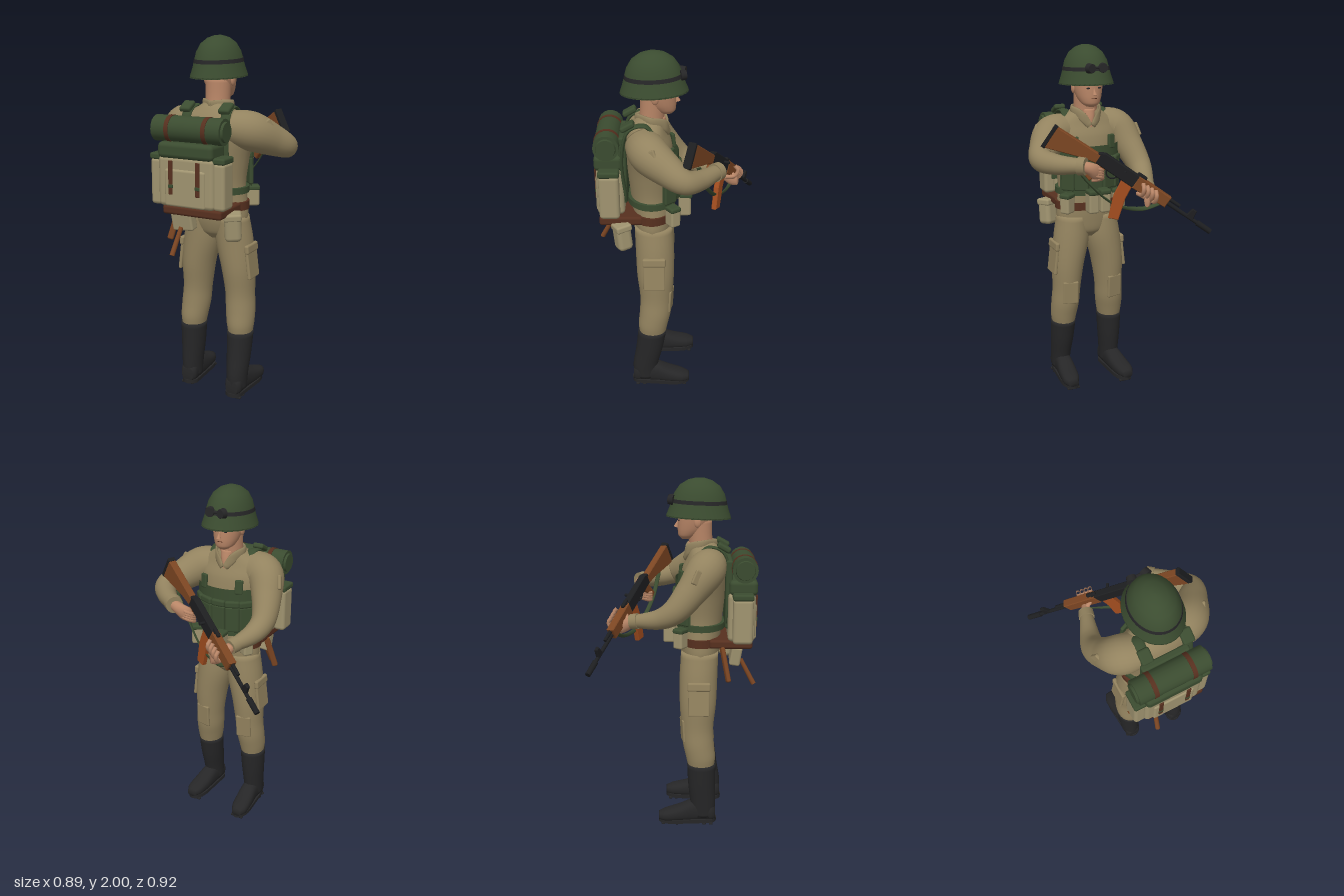
import * as THREE from 'three';
import { RoundedBoxGeometry } from 'three/addons/geometries/RoundedBoxGeometry.js';

const mat = (name, color, side = THREE.FrontSide) => {
  const m = new THREE.MeshStandardMaterial({ color, side });
  m.name = name;
  return m;
};
const V = (p) => new THREE.Vector3(p[0], p[1], p[2]);
const CX = 0.055; // body centre line

export function createModel() {
  const tan = mat('uniform tan', 0x93835f);
  const canvas = mat('canvas tan', 0xa09470);
  const green = mat('olive green', 0x3b4c30, THREE.DoubleSide);
  const skin = mat('skin', 0xb98667);
  const black = mat('black leather', 0x262627);
  const metal = mat('gun metal', 0x1d1e20);
  const wood = mat('wood', 0x7b4522);
  const orange = mat('magazine orange', 0xa24d1f);
  const brown = mat('brown leather', 0x57301f);

  const root = new THREE.Group();
  root.name = 'soldier';
  const add = (name, geo, m, pos = [0, 0, 0], rot = [0, 0, 0], parent = root) => {
    const mesh = new THREE.Mesh(geo, m);
    mesh.name = name;
    mesh.position.set(...pos);
    mesh.rotation.set(...rot);
    parent.add(mesh);
    return mesh;
  };
  const box = (name, size, m, pos, rot, parent, r = 0.012) =>
    add(name, new RoundedBoxGeometry(...size, 2, Math.min(r, Math.min(...size) * 0.4)), m, pos, rot, parent);
  const rod = (name, a, b, r0, r1, m, parent = root) => {
    const d = V(b).sub(V(a));
    const mesh = add(name, new THREE.CylinderGeometry(r1, r0, d.length(), 18), m, V(a).addScaledVector(d, 0.5).toArray(), [0, 0, 0], parent);
    mesh.quaternion.setFromUnitVectors(new THREE.Vector3(0, 1, 0), d.normalize());
    return mesh;
  };

  // Smooth skin over elliptical sections [x, y, z, radiusA, radiusB]
  const sweep = (secs, { ref = [0, 0, 1], dir = null, n = 24, steps = 5, pow = 1 } = {}) => {
    const path = new THREE.CatmullRomCurve3(secs.map(V), false, 'centripetal');
    const radii = new THREE.CatmullRomCurve3(secs.map((s, i) => new THREE.Vector3(s[3], s[4], i * 0.1)), false, 'centripetal');
    const rows = (secs.length - 1) * steps, pos = [], idx = [];
    for (let i = 0; i <= rows; i++) {
      const c = path.getPoint(i / rows), r = radii.getPoint(i / rows);
      const t = dir ? V(dir) : path.getTangent(i / rows);
      const a = V(ref).cross(t).normalize(), b = t.clone().cross(a).normalize();
      for (let j = 0; j < n; j++) {
        const th = (j / n) * Math.PI * 2, cs = Math.cos(th), sn = Math.sin(th);
        const p = c.clone()
          .addScaledVector(a, Math.sign(cs) * Math.abs(cs) ** pow * r.x)
          .addScaledVector(b, Math.sign(sn) * Math.abs(sn) ** pow * r.y);
        pos.push(p.x, p.y, p.z);
        if (i < rows) {
          const k = i * n + j, l = i * n + ((j + 1) % n);
          idx.push(k, l, l + n, k, l + n, k + n);
        }
      }
    }
    const e = pos.length / 3;
    pos.push(...secs[0].slice(0, 3), ...secs[secs.length - 1].slice(0, 3));
    for (let j = 0; j < n; j++) {
      const k = (j + 1) % n;
      idx.push(e, k, j, e + 1, rows * n + j, rows * n + k);
    }
    const g = new THREE.BufferGeometry();
    g.setAttribute('position', new THREE.Float32BufferAttribute(pos, 3));
    g.setIndex(idx);
    g.computeVertexNormals();
    return g;
  };
  const UP = { dir: [0, 1, 0] }, DOWN = { dir: [0, -1, 0] };

  // Torso and pelvis
  add('torso', sweep([[CX, 0.91, 0.135, 0.05, 0.06], [CX, 0.95, 0.135, 0.14, 0.095], [CX, 1.02, 0.14, 0.178, 0.11], [CX, 1.1, 0.14, 0.176, 0.115],
    [CX, 1.22, 0.145, 0.165, 0.12], [CX, 1.36, 0.148, 0.185, 0.13], [CX, 1.5, 0.16, 0.215, 0.125],
    [CX, 1.58, 0.165, 0.18, 0.1], [CX, 1.63, 0.155, 0.1, 0.08], [CX, 1.65, 0.15, 0.07, 0.065]], UP), tan);

  // Legs, boots and leg pockets
  for (const s of [-1, 1]) {
    const X = (o) => CX + s * o, dz = s > 0 ? 0.025 : -0.008;
    add('trouserLeg', sweep([[X(0.09), 1.04, 0.138, 0.088, 0.105], [X(0.1), 0.9, 0.132, 0.104, 0.108], [X(0.125), 0.74, 0.13, 0.094, 0.104],
      [X(0.135), 0.6, 0.128, 0.082, 0.092], [X(0.142), 0.5, 0.135, 0.082, 0.09], [X(0.148), 0.42, 0.148, 0.076, 0.085], [X(0.15), 0.36, 0.152, 0.066, 0.075]], DOWN), tan);
    add('bootShaft', sweep([[X(0.15), 0.378, 0.153, 0.074, 0.083], [X(0.152), 0.25, 0.16 + dz / 2, 0.067, 0.079],
      [X(0.154), 0.13, 0.172 + dz, 0.058, 0.074], [X(0.154), 0.05, 0.175 + dz, 0.054, 0.068]], DOWN), black);
    add('bootFoot', sweep([[X(0.153), 0.065, 0.245 + dz, 0.035, 0.04], [X(0.153), 0.075, 0.22 + dz, 0.05, 0.058], [X(0.155), 0.08, 0.12 + dz, 0.05, 0.065],
      [X(0.163), 0.065, 0.03 + dz, 0.054, 0.046], [X(0.17), 0.055, -0.045 + dz, 0.049, 0.034], [X(0.172), 0.05, -0.088 + dz, 0.028, 0.022]],
      { ref: [0, 1, 0], dir: [0, 0, -1], pow: 0.8 }), black);
    const sole = new THREE.Shape();
    sole.absellipse(0, 0.01, 0.053, 0.1, Math.PI, 0, true);
    sole.absellipse(0, -0.185, 0.048, 0.045, 0, -Math.PI, true);
    add('bootSole', new THREE.ExtrudeGeometry(sole, { depth: 0.022, bevelEnabled: false }), black, [X(0.162), 0.012, 0.022 + dz], [-Math.PI / 2, 0, -s * 0.06]);
    for (const z of [0.22, 0.18, 0.02, -0.025, -0.06]) box('soleTread', [0.078, 0.014, 0.022], black, [X(0.163), 0.007, z + dz]);
    box('thighPocket', [0.02, 0.17, 0.12], tan, [X(0.21), 0.78, 0.135], [0, 0, s * 0.12]);
    box('pocketFlap', [0.026, 0.05, 0.13], tan, [X(0.204), 0.865, 0.135], [0, 0, s * 0.08]);
    box('kneePatch', [0.09, 0.14, 0.02], tan, [X(0.14), 0.585, 0.046], [-0.06, s * -0.2, 0], root, 0.008);
  }

  // Neck, collar and head
  add('neck', sweep([[CX, 1.56, 0.15, 0.065, 0.075], [CX, 1.66, 0.138, 0.066, 0.066], [CX, 1.78, 0.13, 0.07, 0.07]], UP), skin);
  add('openChest', sweep([[CX, 1.54, 0.062, 0.006, 0.008], [CX, 1.6, 0.08, 0.028, 0.022], [CX, 1.65, 0.1, 0.04, 0.03]], UP), skin);
  for (const s of [-1, 1]) {
    add('collar', sweep([[CX + s * 0.01, 1.56, 0.05, 0.008, 0.018], [CX + s * 0.055, 1.62, 0.075, 0.008, 0.028],
      [CX + s * 0.082, 1.645, 0.145, 0.008, 0.024], [CX, 1.645, 0.225, 0.008, 0.022]], { ref: [0, 1, 0], n: 10 }), tan);
    add('ear', new THREE.SphereGeometry(0.02, 10, 8), skin, [CX + s * 0.08, 1.765, 0.12]).scale.set(0.5, 1.4, 1);
    add('eye', new THREE.SphereGeometry(0.008, 8, 6), black, [CX + s * 0.032, 1.772, 0.018]).scale.set(1.4, 0.6, 0.6);
    box('eyebrow', [0.034, 0.007, 0.008], brown, [CX + s * 0.033, 1.789, 0.014], [0, s * -0.3, s * 0.1]);
  }
  add('head', sweep([[CX, 1.668, 0.062, 0.025, 0.03], [CX, 1.685, 0.07, 0.05, 0.055], [CX, 1.72, 0.09, 0.068, 0.08],
    [CX, 1.77, 0.105, 0.08, 0.094], [CX, 1.83, 0.115, 0.085, 0.1], [CX, 1.9, 0.12, 0.075, 0.09]], UP), skin);
  add('nose', new THREE.ConeGeometry(0.014, 0.045, 8), skin, [CX, 1.754, 0.008], [0.3, 0, 0]);
  box('mouth', [0.032, 0.004, 0.006], brown, [CX, 1.716, 0.013]);

  // Helmet with goggles strapped round it
  const helmet = new THREE.Group();
  helmet.name = 'helmet';
  helmet.position.set(CX, 1.786, 0.125);
  helmet.rotation.x = 0.04;
  root.add(helmet);
  const prof = [[0.144, 0.012], [0.148, 0], [0.146, 0.008], [0.133, 0.05], [0.123, 0.09], [0.113, 0.13], [0.09, 0.172], [0.055, 0.2], [0.02, 0.212], [0, 0.213]];
  add('helmetShell', new THREE.LatheGeometry(prof.map((p) => new THREE.Vector2(...p)), 36), green, [0, 0, 0], [0, 0, 0], helmet).scale.z = 1.22;
  add('helmetLining', new THREE.CircleGeometry(0.143, 28), green, [0, 0.012, 0], [Math.PI / 2, 0, 0], helmet).scale.y = 1.22;
  const strap = add('goggleStrap', new THREE.CylinderGeometry(0.125, 0.129, 0.02, 36, 1), black, [0, 0.085, 0], [0, 0, 0], helmet);
  strap.scale.z = 1.2;
  for (const s of [-1, 1]) add('goggleLens', new THREE.CylinderGeometry(0.024, 0.028, 0.03, 14), black, [s * 0.036, 0.09, -0.154], [-Math.PI / 2, 0, s * 0.25], helmet);
  box('goggleBridge', [0.04, 0.014, 0.02], black, [0, 0.093, -0.153], [0, 0, 0], helmet);

  // Sleeves and cuffs
  add('gripSleeve', sweep([[0.15, 1.53, 0.185, 0.1, 0.09], [0.25, 1.51, 0.15, 0.105, 0.105], [0.33, 1.46, 0.06, 0.085, 0.088], [0.382, 1.415, -0.03, 0.064, 0.066],
    [0.335, 1.4, -0.1, 0.055, 0.056], [0.215, 1.4, -0.21, 0.04, 0.038]], { ref: [0, 1, 0], steps: 7 }), tan);
  rod('gripCuff', [0.235, 1.4, -0.19], [0.205, 1.4, -0.217], 0.05, 0.047, tan);
  add('supportSleeve', sweep([[-0.04, 1.54, 0.185, 0.09, 0.1], [-0.14, 1.52, 0.165, 0.105, 0.105], [-0.195, 1.42, 0.09, 0.086, 0.083], [-0.222, 1.315, 0.0, 0.07, 0.066],
    [-0.205, 1.27, -0.08, 0.056, 0.056], [-0.158, 1.245, -0.225, 0.034, 0.034]], { ref: [1, 0, 0], steps: 7 }), tan);
  rod('supportCuff', [-0.166, 1.25, -0.2], [-0.153, 1.243, -0.24], 0.044, 0.041, tan);
  box('sleevePocket', [0.02, 0.08, 0.07], tan, [0.352, 1.53, 0.14], [0.5, -0.35, 0.4]);
  box('sleevePocket', [0.02, 0.08, 0.07], tan, [-0.252, 1.5, 0.13], [0.5, 0.35, -0.25]);

  // Hands
  add('gripHand', sweep([[0.225, 1.4, -0.2, 0.03, 0.028], [0.18, 1.385, -0.213, 0.03, 0.034], [0.14, 1.36, -0.205, 0.024, 0.04], [0.115, 1.34, -0.185, 0.015, 0.025]], { ref: [0, 1, 0], n: 14 }), skin);
  add('supportHand', sweep([[-0.156, 1.245, -0.23, 0.028, 0.026], [-0.14, 1.22, -0.27, 0.024, 0.034], [-0.115, 1.205, -0.31, 0.02, 0.04], [-0.095, 1.205, -0.34, 0.014, 0.03]], { ref: [0, 1, 0], n: 14 }), skin);
  for (let i = 0; i < 4; i++) {
    const f = i * 0.021, d = i * 0.013;
    add('gripFinger', new THREE.TubeGeometry(new THREE.CatmullRomCurve3([[0.155, 1.385 - d, -0.22], [0.125, 1.375 - d, -0.22], [0.1, 1.36 - d, -0.195], [0.118, 1.345 - d, -0.16], [0.14, 1.342 - d, -0.145]].map(V)), 10, 0.011, 8), skin);
    add('supportFinger', new THREE.TubeGeometry(new THREE.CatmullRomCurve3([[-0.14 + f, 1.195 + d, -0.29 + f * 0.4], [-0.14 + f, 1.2 + d, -0.345 + f * 0.4], [-0.14 + f, 1.235 + d, -0.365 + f * 0.4], [-0.145 + f, 1.262 + d, -0.345 + f * 0.4]].map(V)), 10, 0.0115, 8), skin);
  }
  rod('supportThumb', [-0.14, 1.24, -0.26], [-0.095, 1.28, -0.272], 0.014, 0.01, skin);

  // Rifle: local +x runs to the muzzle, origin at the muzzle
  const rifle = new THREE.Group();
  rifle.name = 'rifle';
  const muzzle = V([-0.43, 1.025, -0.447]);
  const fwd = muzzle.clone().sub(V([0.335, 1.602, -0.062])).normalize();
  const side = fwd.clone().cross(V([0, 1, 0])).normalize();
  rifle.quaternion.setFromRotationMatrix(new THREE.Matrix4().makeBasis(fwd, side.clone().cross(fwd), side));
  rifle.position.copy(muzzle);
  root.add(rifle);
  const plate = (name, pts, w, m) => add(name, new THREE.ExtrudeGeometry(new THREE.Shape(pts.map((p) => new THREE.Vector2(...p))),
    { depth: w - 0.008, bevelSize: 0.004, bevelThickness: 0.004, bevelSegments: 1 }), m, [0, 0, -w / 2 + 0.004], [0, 0, 0], rifle);
  rod('muzzleBrake', [0, 0, 0], [-0.09, 0, 0], 0.015, 0.016, metal, rifle);
  rod('barrel', [-0.08, 0, 0], [-0.35, 0, 0], 0.01, 0.012, metal, rifle);
  rod('gasTube', [-0.22, 0.024, 0], [-0.32, 0.024, 0], 0.009, 0.011, metal, rifle);
  plate('frontSight', [[-0.12, 0], [-0.16, 0], [-0.15, 0.048], [-0.13, 0.048]], 0.02, metal);
  plate('handguard', [[-0.29, -0.022], [-0.49, -0.032], [-0.49, 0.036], [-0.29, 0.034]], 0.044, wood);
  plate('receiver', [[-0.48, -0.03], [-0.74, -0.03], [-0.74, 0.02], [-0.71, 0.036], [-0.48, 0.036]], 0.038, metal);
  box('rearSight', [0.06, 0.022, 0.022], metal, [-0.48, 0.044, 0], [0, 0, 0], rifle);
  rod('boltHandle', [-0.57, 0.016, 0], [-0.57, 0.016, 0.05], 0.008, 0.008, metal, rifle);
  plate('magazine', [[-0.5, -0.025], [-0.49, -0.11], [-0.455, -0.225], [-0.5, -0.245], [-0.545, -0.13], [-0.56, -0.025]], 0.03, orange);
  plate('pistolGrip', [[-0.665, -0.025], [-0.705, -0.13], [-0.74, -0.12], [-0.715, -0.025]], 0.032, wood);
  add('triggerGuard', new THREE.TorusGeometry(0.032, 0.004, 6, 14, Math.PI), metal, [-0.625, -0.03, 0], [0, 0, Math.PI], rifle);
  plate('stock', [[-0.73, 0.014], [-0.73, -0.03], [-0.8, -0.045], [-1.0, -0.115], [-1.0, 0.008]], 0.04, wood);
  plate('buttPad', [[-1.0, 0.01], [-1.0, -0.118], [-1.015, -0.118], [-1.015, 0.01]], 0.044, metal);
  add('rifleSling', sweep([[0.26, 1.44, -0.105], [0.17, 1.3, -0.14], [0.03, 1.17, -0.215], [-0.1, 1.15, -0.28], [-0.2, 1.19, -0.33]].map((p) => [...p, 0.012, 0.004]), { ref: [1, 0, 0], n: 8 }), green);

  // Chest rig, waist strap and belt
  const band = (name, rx, rz, y, h, m, half = Math.PI) => {
    add(name, new THREE.CylinderGeometry(1, 1, h, 36, 1, half < 3, Math.PI - half, half * 2), m, [CX, y, 0.145]).scale.set(rx, 1, rz);
  };
  band('chestRig', 0.198, 0.148, 1.325, 0.26, green, 1.15);
  band('waistStrap', 0.182, 0.138, 1.19, 0.035, green);
  band('belt', 0.186, 0.126, 1.105, 0.045, brown);
  for (let i = -2; i <= 2; i++) {
    const a = i * 0.42, x = CX + Math.sin(a) * 0.198, z = 0.145 - Math.cos(a) * 0.149;
    box('rigPocket', [0.08, 0.15, 0.024], green, [x, 1.28, z], [0, -a, 0]);
    box('rigPocketFlap', [0.084, 0.04, 0.03], green, [x, 1.37, z], [0, -a, 0]);
  }
  for (const x of [0.02, 0.09]) {
    box('ammoPouch', [0.06, 0.13, 0.07], canvas, [x, 1.15, -0.035]);
    box('ammoPouchFlap', [0.064, 0.03, 0.074], green, [x, 1.205, -0.04]);
  }
  for (const s of [-1, 1]) {
    box('sidePouch', [0.07, 0.1, 0.06], canvas, [CX + s * 0.16, 1.13, 0.03], [0, s * 0.6, 0]);
    box('sidePouchFlap', [0.075, 0.03, 0.065], green, [CX + s * 0.16, 1.18, 0.03], [0, s * 0.6, 0]);
    box('rigShoulderTab', [0.045, 0.08, 0.02], green, [CX + s * 0.11, 1.47, 0.03], [0.1, -s * 0.4, 0]);
    // Pack straps over the back of the shoulders
    add('shoulderStrap', sweep([[CX + s * 0.113, 1.6, 0.13], [CX + s * 0.11, 1.635, 0.18], [CX + s * 0.115, 1.61, 0.26], [CX + s * 0.12, 1.45, 0.3], [CX + s * 0.13, 1.22, 0.28]]
      .map((p) => [...p, 0.009, 0.028]), { ref: [1, 0, 0], n: 10 }), green);
    box('strapPad', [0.065, 0.03, 0.08], green, [CX + s * 0.115, 1.635, 0.265], [0.5, 0, 0]);
  }

  // Backpack with bedroll
  const PX = 0.022;
  box('packBody', [0.33, 0.27, 0.15], canvas, [PX, 1.26, 0.365], [0, 0, 0], root, 0.025);
  box('packFrame', [0.27, 0.38, 0.04], green, [PX + 0.015, 1.38, 0.295]);
  box('packPocket', [0.24, 0.2, 0.035], canvas, [PX, 1.23, 0.432], [0, 0, 0], root, 0.015);
  box('packFlap', [0.325, 0.085, 0.155], green, [PX, 1.425, 0.373], [0, 0, 0], root, 0.025);
  for (const s of [-1, 1]) {
    box('packSidePocket', [0.07, 0.25, 0.11], canvas, [PX + s * 0.185, 1.25, 0.37], [0, 0, 0], root, 0.02);
    box('packSideLid', [0.074, 0.035, 0.115], green, [PX + s * 0.185, 1.385, 0.37]);
    box('packStrap', [0.024, 0.18, 0.009], brown, [PX + s * 0.08, 1.285, 0.45]);
    box('packBuckle', [0.028, 0.02, 0.012], green, [PX + s * 0.08, 1.24, 0.451]);
    rod('rollStrap', [PX + s * 0.108 - 0.012, 1.53, 0.377], [PX + s * 0.108 + 0.012, 1.53, 0.377], 0.072, 0.072, brown);
    rod('rollEnd', [PX + s * 0.195, 1.53, 0.377], [PX + s * 0.212, 1.53, 0.377], 0.055, 0.05, green);
  }
  rod('bedroll', [PX - 0.2, 1.53, 0.377], [PX + 0.2, 1.53, 0.377], 0.069, 0.069, green);
  box('packBelt', [0.35, 0.05, 0.24], brown, [CX - 0.005, 1.105, 0.31], [0, 0, 0], root, 0.015);

  // Gear hung below the pack
  box('toolPouch', [0.125, 0.11, 0.06], canvas, [-0.045, 1.035, 0.34], [0.15, 0, 0.08]);
  box('canteen', [0.09, 0.15, 0.085], canvas, [0.232, 1.02, 0.305], [0.1, 0.5, 0], root, 0.025);
  box('canteenFlap', [0.095, 0.04, 0.09], canvas, [0.232, 1.08, 0.31], [0.1, 0.5, 0]);
  rod('toolHandle', [-0.045, 1.0, 0.37], [-0.06, 0.86, 0.445], 0.012, 0.014, wood);
  box('sheath', [0.035, 0.2, 0.025], wood, [-0.137, 0.995, 0.28], [-0.1, 0.4, -0.25]);
  return root;
}
